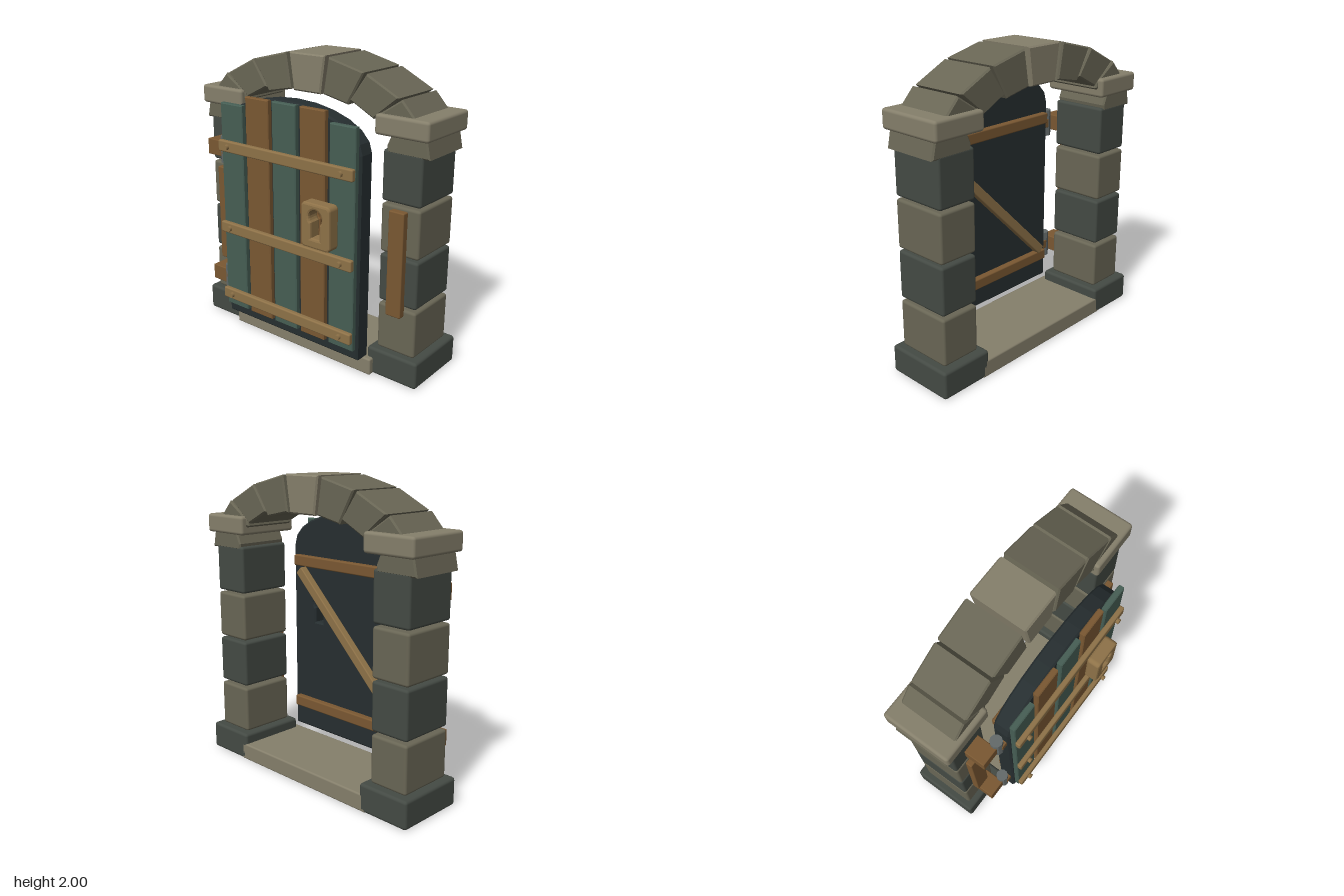
import * as THREE from 'three';
import { RoundedBoxGeometry } from 'three/addons/geometries/RoundedBoxGeometry.js';

const mat = (color, flatShading = false) =>
  new THREE.MeshStandardMaterial({ color, flatShading });
const M = {
  light: mat(0x857f6b), mid: mat(0x696655), dark: mat(0x444a44),
  panel: mat(0x262e30), teal: mat(0x465e54), brown: mat(0x7a5832),
  tan: mat(0x8e7248), metal: mat(0x636a6a, true),
};

export function createModel() {
  const root = new THREE.Group();

  const add = (name, geometry, material, parent = root) => {
    const mesh = new THREE.Mesh(geometry, material);
    mesh.name = name;
    parent.add(mesh);
    return mesh;
  };

  // Softened box given by its extents
  const box = (name, material, [x0, x1], [y0, y1], [z0, z1], r = 0.012, parent = root) => {
    const mesh = add(name, new RoundedBoxGeometry(x1 - x0, y1 - y0, z1 - z0, 2, r), material, parent);
    mesh.position.set((x0 + x1) / 2, (y0 + y1) / 2, (z0 + z1) / 2);
    return mesh;
  };

  // Chamfered slab: an outline extruded from z0 to z1
  const slab = (name, material, shape, z0, z1, b = 0.01, parent = root, bevelSegments = 1) => {
    const g = new THREE.ExtrudeGeometry(shape, {
      depth: z1 - z0 - 2 * b, bevelSize: b, bevelThickness: b, bevelOffset: -b,
      bevelSegments, curveSegments: 10,
    });
    g.translate(0, 0, z0 + b);
    return add(name, g, material, parent);
  };

  const poly = (pts) => new THREE.Shape(pts.map(([x, y]) => new THREE.Vector2(x, y)));

  const frame = new THREE.Group();
  frame.name = 'stoneFrame';
  root.add(frame);

  // Pillars: footing, four stacked blocks, capital and a wooden facing board
  const spanX = (s, a, b) => (s > 0 ? [a, b] : [-b, -a]);
  const courses = [[0.185, 0.5], [0.52, 0.835], [0.85, 1.165], [1.18, 1.5]];
  for (const s of [-1, 1]) {
    box('footing', M.dark, spanX(s, 0.54, 0.91), [0, 0.185], [-0.375, 0.106], 0.02, frame);
    courses.forEach((y, i) =>
      box('pillarBlock', i % 2 ? M.dark : M.mid, spanX(s, 0.587, 0.862), y, [-0.323, 0.063], 0.018, frame));
    box('capital', M.light, spanX(s, 0.54, 0.91), [1.585, 1.71], [-0.36, 0.095], 0.02, frame);
    box('facingBoard', M.brown, spanX(s, 0.67, 0.778), [0.455, 1.145], [0.055, 0.107], 0.008, frame);
  }
  box('sill', M.light, [-0.59, 0.59], [0, 0.115], [-0.375, 0.143], 0.012, frame);

  // Arch: a keystone and four mirrored stones on each side
  slab('keystone', M.light,
    poly([[-0.108, 1.76], [0.108, 1.76], [0.143, 2], [-0.143, 2]]), -0.323, 0.063, 0.01, frame);
  const arch = [
    [[0.13, 1.765], [0.32, 1.725], [0.435, 1.93], [0.17, 1.995]],
    [[0.335, 1.755], [0.51, 1.665], [0.685, 1.81], [0.455, 1.925]],
    [[0.52, 1.65], [0.61, 1.595], [0.83, 1.67], [0.705, 1.805], [0.53, 1.69]],
    [[0.61, 1.52], [0.617, 1.48], [0.905, 1.48], [0.88, 1.6], [0.645, 1.6]],
  ];
  for (const pts of arch) {
    for (const s of [-1, 1]) {
      const p = pts.map(([x, y]) => [s * x, y]);
      slab('archStone', M.mid, poly(s > 0 ? p : p.reverse()), -0.323, 0.063, 0.01, frame);
    }
  }

  // Door leaf
  const door = new THREE.Group();
  door.name = 'door';
  root.add(door);

  // Keyhole outline, counter-clockwise from the slot's lower right corner
  const kx = 0.32, ky = 1.085, kr = 0.05, half = 0.034;
  const keyhole = [[kx + half, 0.95]];
  const a0 = -Math.acos(half / kr);
  for (let i = 0; i <= 16; i++) {
    const a = a0 + (Math.PI - 2 * a0) * i / 16;
    keyhole.push([kx + kr * Math.cos(a), ky + kr * Math.sin(a)]);
  }
  keyhole.push([kx - half, 0.95]);
  const holePath = () => new THREE.Path(keyhole.map(([x, y]) => new THREE.Vector2(x, y)));

  // Backing panel with an elliptical head
  const outline = [[-0.563, 0.145], [0.563, 0.145]];
  for (let i = 0; i <= 12; i++) {
    const a = Math.PI * i / 12;
    outline.push([0.563 * Math.cos(a), 1.485 + 0.25 * Math.sin(a)]);
  }
  const panelShape = poly(outline);
  panelShape.holes.push(holePath());
  slab('doorPanel', M.panel, panelShape, 0.128, 0.245, 0.012, door);

  // Planks; the two beside the keyhole are notched around it
  const planks = [
    [-0.547, -0.355, 1.66], [-0.325, -0.13, 1.725], [-0.1, 0.092, 1.725],
    [0.125, 0.32, 1.725], [0.355, 0.547, 1.66],
  ];
  planks.forEach(([x0, x1, top], i) => {
    const pts = [[x0, 0.22], [x1, 0.22]];
    if (i === 3) {
      pts.push([x1, 0.95]);
      pts.push(...keyhole.filter(([x]) => x < kx - 0.003).reverse());
      pts.push([x1, ky + kr]);
    }
    pts.push([x1, top], [x0, top]);
    if (i === 4) pts.push([x0, 1.125], [x0 + 0.018, 1.125], [x0 + 0.018, 1.045], [x0, 1.045]);
    slab('plank', i % 2 ? M.brown : M.teal, poly(pts), 0.24, 0.28, 0.006, door);
  });

  // Front straps with rivets
  for (const y of [0.315, 0.81, 1.38]) {
    box('frontStrap', M.tan, [-0.55, 0.55], [y - 0.038, y + 0.038], [0.277, 0.313], 0.01, door);
    for (const x of [-0.465, 0.465]) {
      const rivet = add('rivet', new THREE.CylinderGeometry(0.018, 0.018, 0.035, 12), M.tan, door);
      rivet.rotation.x = Math.PI / 2;
      rivet.position.set(x, y, 0.317);
    }
  }

  // Back ledges and diagonal brace
  for (const y of [0.34, 1.38]) {
    box('backLedge', M.brown, [-0.52, 0.52], [y - 0.038, y + 0.038], [0.082, 0.132], 0.01, door);
  }
  const brace = box('diagonalBrace', M.tan, [-0.66, 0.66], [-0.033, 0.033], [0.075, 0.13], 0.008, door);
  brace.position.y = 0.85;
  brace.rotation.z = Math.atan2(0.92, 0.93);

  // Lock plate
  const plate = new THREE.Shape();
  const [px0, px1, py0, py1, pr] = [0.21, 0.432, 0.885, 1.175, 0.03];
  plate.absarc(px1 - pr, py0 + pr, pr, -Math.PI / 2, 0);
  plate.absarc(px1 - pr, py1 - pr, pr, 0, Math.PI / 2);
  plate.absarc(px0 + pr, py1 - pr, pr, Math.PI / 2, Math.PI);
  plate.absarc(px0 + pr, py0 + pr, pr, Math.PI, Math.PI * 1.5);
  plate.holes.push(holePath());
  slab('lockPlate', M.tan, plate, 0.28, 0.373, 0.014, door, 2);

  // Hinges: wall block, barrel and leaf
  for (const y of [0.375, 1.317]) {
    box('hingeBlock', M.brown, [-0.76, -0.63], [y - 0.055, y + 0.055], [0.06, 0.205], 0.006);
    const barrel = add('hingeBarrel', new THREE.CylinderGeometry(0.041, 0.041, 0.185, 10), M.metal);
    barrel.position.set(-0.603, y, 0.18);
    box('hingeLeaf', M.brown, [-0.605, -0.53], [y - 0.032, y + 0.032], [0.14, 0.225], 0.006);
  }

  return root;
}
